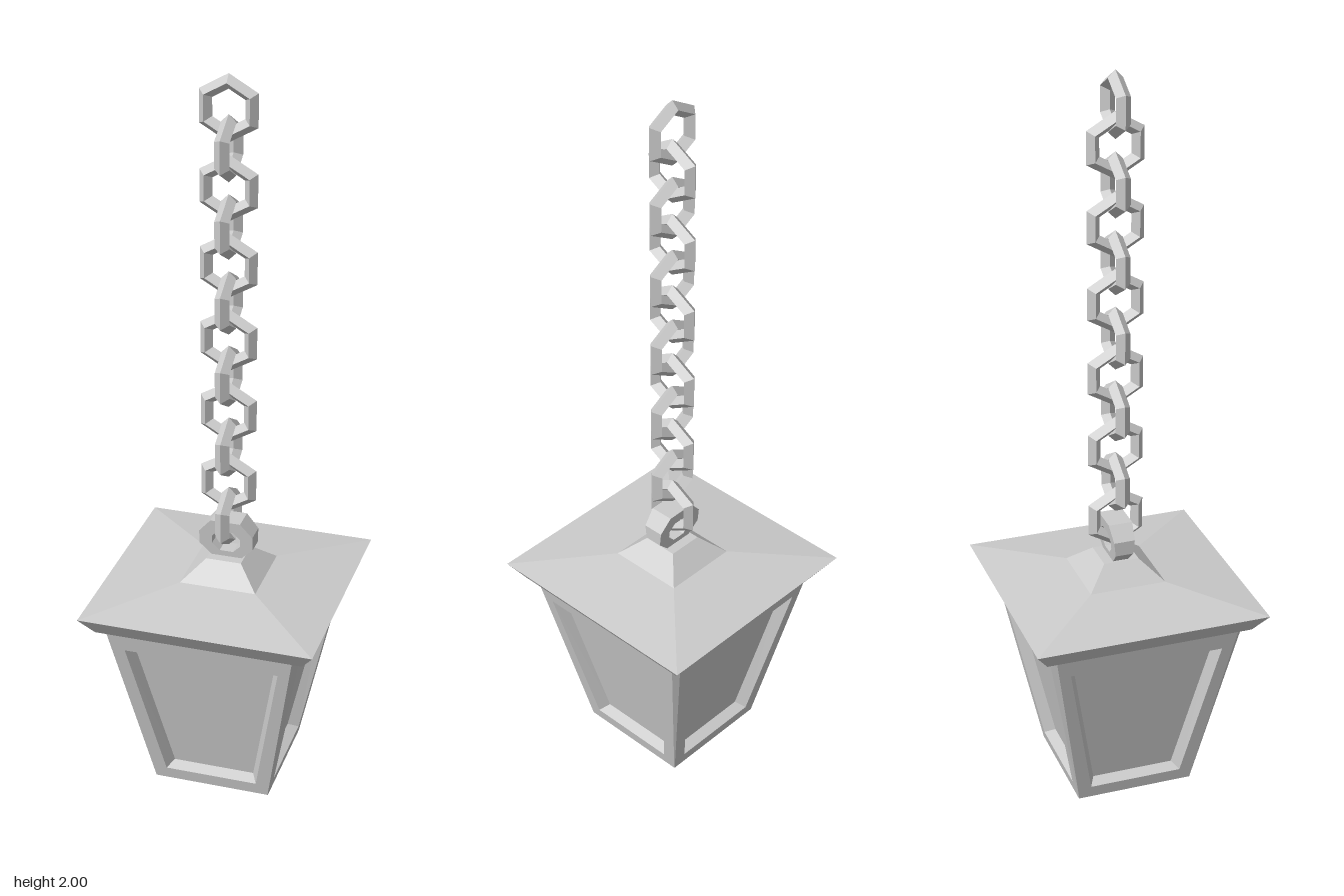
import * as THREE from 'three';

const mat = new THREE.MeshStandardMaterial({ color: 0xcccccc, flatShading: true });

function add(parent, geometry, name) {
  const mesh = new THREE.Mesh(geometry, mat);
  mesh.name = name;
  parent.add(mesh);
  return mesh;
}

// Square solid from [halfWidth, y] pairs, listed bottom to top
function squareLoft(profile) {
  const pts = profile.map(([h, y]) => new THREE.Vector2(h * Math.SQRT2, y));
  return new THREE.LatheGeometry(pts, 4, Math.PI / 4);
}

// Triangles from quads of corners, counter-clockwise seen from outside
function quadGeometry(quads) {
  const pos = [];
  for (const [a, b, c, d] of quads) pos.push(...a, ...b, ...c, ...a, ...c, ...d);
  const g = new THREE.BufferGeometry();
  g.setAttribute('position', new THREE.Float32BufferAttribute(pos, 3));
  g.computeVertexNormals();
  return g;
}

const BOTTOM = 0.07, TOP = 0.575;
const wallAt = (y) => 0.157 + ((y - BOTTOM) / (TOP - BOTTOM)) * 0.104;

// Trapezoid lying on the sloped wall, pushed inwards by depth
function trapezoid(y0, half0, y1, half1, depth) {
  const z0 = wallAt(y0) - depth, z1 = wallAt(y1) - depth;
  return [[-half0, y0, z0], [half0, y0, z0], [half1, y1, z1], [-half1, y1, z1]];
}

// Rim, slanted recess and pane of one wall
function wallGeometries() {
  const rim = trapezoid(BOTTOM, 0.156, TOP, 0.246, 0);
  const opening = trapezoid(0.105, 0.125, 0.517, 0.205, 0);
  const pane = trapezoid(0.118, 0.11, 0.497, 0.185, 0.03);
  const quads = [];
  for (const [outer, inner] of [[rim, opening], [opening, pane]]) {
    for (let i = 0; i < 4; i++) {
      const j = (i + 1) % 4;
      quads.push([outer[i], outer[j], inner[j], inner[i]]);
    }
  }
  // Corner chamfer that narrows downwards
  const [, b, t] = rim;
  quads.push([b, [b[2], b[1], b[0]], [t[2], t[1], t[0]], t]);
  return { frame: quadGeometry(quads), pane: quadGeometry([pane]) };
}

// Hanging eye: faceted ring, thicker towards the top
function eyeGeometry() {
  const outline = [[-0.035, 0.7], [0.035, 0.7], [0.072, 0.737], [0.072, 0.775], [0.04, 0.812],
    [-0.04, 0.812], [-0.072, 0.775], [-0.072, 0.737]];
  const hole = [[-0.018, 0.722], [0.018, 0.722], [0.038, 0.742], [0.038, 0.764], [0.02, 0.782],
    [-0.02, 0.782], [-0.038, 0.764], [-0.038, 0.742]];
  const vec = (list) => list.map(([x, y]) => new THREE.Vector2(x, y));
  const shape = new THREE.Shape(vec(outline));
  shape.holes.push(new THREE.Path(vec(hole)));
  const g = new THREE.ExtrudeGeometry(shape, { depth: 2, bevelEnabled: false });
  const p = g.attributes.position;
  for (let i = 0; i < p.count; i++) {
    const half = 0.02 + ((p.getY(i) - 0.7) / 0.112) * 0.012;
    p.setZ(i, (p.getZ(i) - 1) * half);
  }
  g.computeVertexNormals();
  return g;
}

export function createModel() {
  const model = new THREE.Group();
  model.name = 'hangingLantern';

  // Roof with eave and flared neck
  add(model, squareLoft([[0, 0.575], [0.275, 0.575], [0.31, 0.625], [0.102, 0.655],
    [0.047, 0.706], [0, 0.706]]), 'roof');

  // Four walls
  const { frame, pane } = wallGeometries();
  for (let i = 0; i < 4; i++) {
    const wall = new THREE.Group();
    wall.name = 'wall';
    wall.rotation.y = (i * Math.PI) / 2;
    add(wall, frame, 'wallFrame');
    add(wall, pane, 'windowPane');
    model.add(wall);
  }

  // Base and finial
  add(model, squareLoft([[0, 0.05], [0.1, 0.05], [0.157, BOTTOM], [0, BOTTOM]]), 'base');
  add(model, squareLoft([[0, 0], [0.025, 0], [0.048, 0.04], [0.048, 0.052]]), 'finial');

  add(model, eyeGeometry(), 'hangingEye');

  // Chain of hexagonal links, each turned a quarter from the last
  const chain = new THREE.Group();
  chain.name = 'chain';
  const linkGeometry = new THREE.TorusGeometry(0.066, 0.019, 4, 6).rotateZ(Math.PI / 6);
  for (let i = 0; i < 12; i++) {
    const link = add(chain, linkGeometry, 'chainLink');
    link.position.y = 1.915 - i * 0.1;
    link.rotation.y = (i % 2) * Math.PI / 2;
  }
  model.add(chain);
  return model;
}
